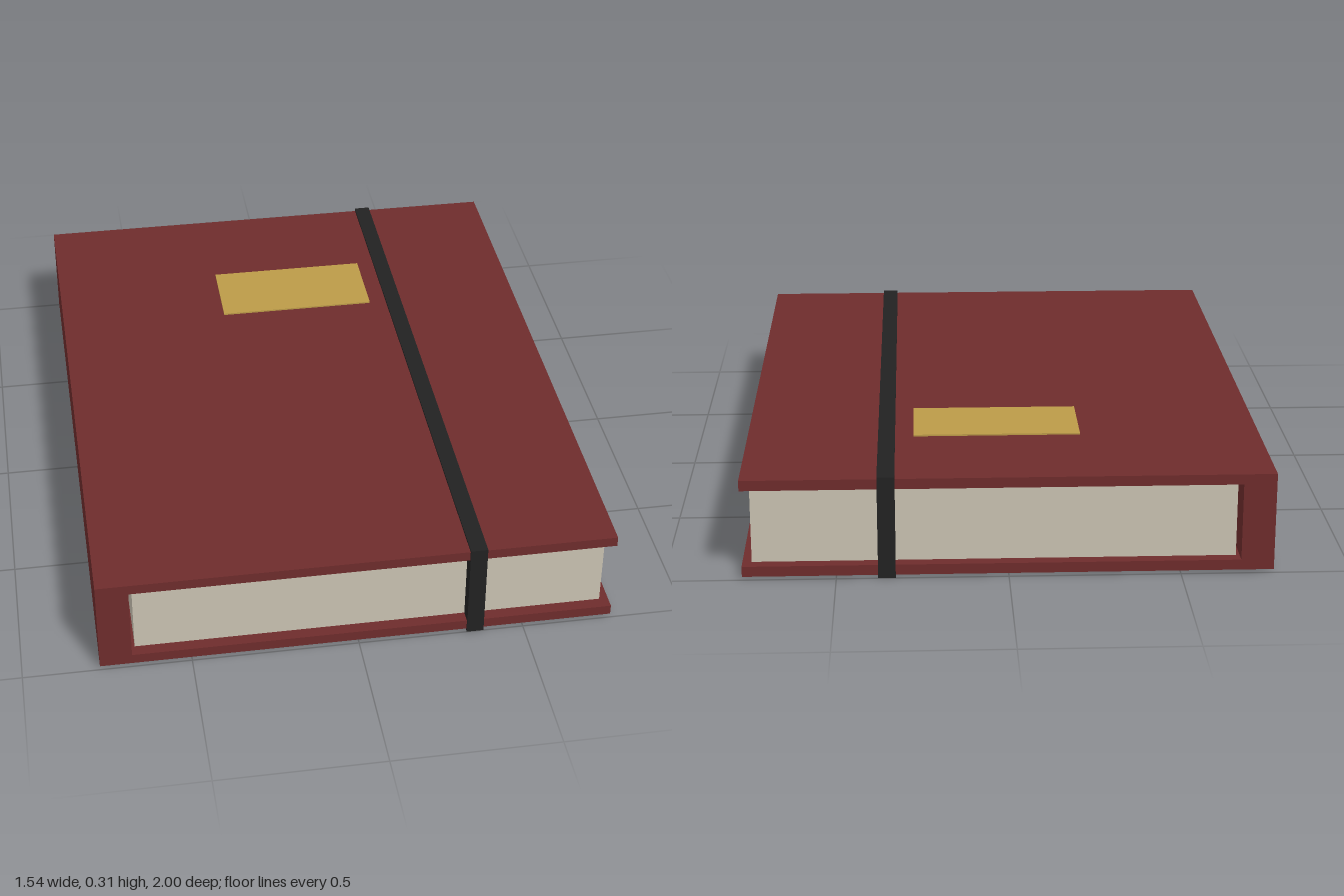
import * as THREE from 'three';

const material = (name, color) => {
  const m = new THREE.MeshStandardMaterial({ color });
  m.name = name;
  return m;
};

export function createModel() {
  const book = new THREE.Group();
  book.name = 'notebook';

  const leather = material('maroon leather', 0x6e2c2c);
  const paper = material('cream paper', 0xc9c2b1);
  const elastic = material('black elastic', 0x222222);
  const gold = material('gold label', 0xbc9b48);

  // Box given by its extents along each axis
  const block = (name, mat, [x0, x1], [y0, y1], [z0, z1]) => {
    const mesh = new THREE.Mesh(new THREE.BoxGeometry(x1 - x0, y1 - y0, z1 - z0), mat);
    mesh.position.set((x0 + x1) / 2, (y0 + y1) / 2, (z0 + z1) / 2);
    mesh.name = name;
    book.add(mesh);
  };

  // Hard cover: two boards joined by a spine at the right
  const W = 0.772, D = 0.994;
  const bottom = 0.008, top = 0.303, board = 0.031;
  block('backCover', leather, [-W, W], [bottom, bottom + board], [-D, D]);
  block('frontCover', leather, [-W, W], [top - board, top], [-D, D]);
  block('spine', leather, [-W, -0.676], [bottom + board, top - board], [-D, D]);

  // Page block, set in from the cover edges
  block('pages', paper, [-0.665, 0.745], [bottom + board, top - board], [-0.957, 0.957]);

  // Elastic band around the closed book: two runs and two ends filling the page recess
  const bandX = [0.328, 0.379];
  block('bandTop', elastic, bandX, [top, 0.31], [-1, 1]);
  block('bandBottom', elastic, bandX, [0, bottom], [-1, 1]);
  block('bandFront', elastic, bandX, [bottom, top], [0.957, 1]);
  block('bandRear', elastic, bandX, [bottom, top], [-1, -0.957]);

  // Blank label plate on the front cover
  block('label', gold, [-0.23, 0.272], [top, 0.308], [-0.628, -0.375]);

  return book;
}
